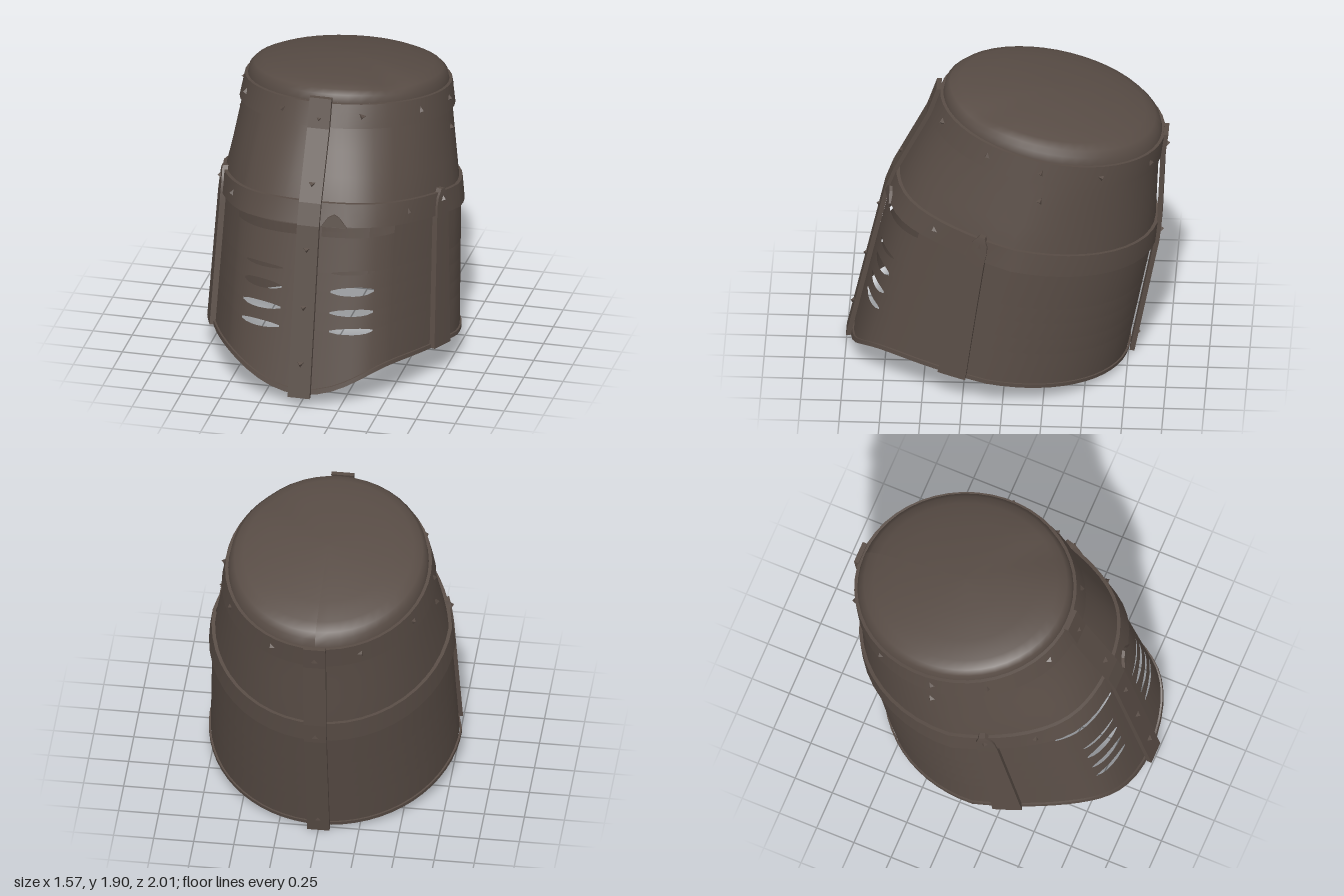
import * as THREE from 'three';
import { toCreasedNormals } from 'three/addons/utils/BufferGeometryUtils.js';

// Horizontal rings of the helmet, bottom to top: front z, back z, widest z, half width, bluntness of the front, height
const RINGS = [
  { zf: 0.96, zb: -0.745, zc: 0.1, w: 0.775, blunt: 1, y: (z, c) => 0.17 + (c > 0 ? 0.1 * c - 0.2 * c ** 10 : 0.15 * c) },
  { zf: 0.72, zb: -0.9, zc: -0.05, w: 0.745, blunt: 0.9, y: z => 0.985 + 0.2 * z },
  { zf: 0.67, zb: -0.915, zc: -0.08, w: 0.725, blunt: 0.6, y: z => 1.13 + 0.2 * z },
  { zf: 0.46, zb: -0.935, zc: -0.25, w: 0.645, blunt: 0, y: z => 1.59 + 0.19 * z },
  { zf: 0.4, zb: -0.955, zc: -0.277, w: 0.62, blunt: 0, y: z => 1.74 + 0.19 * z },
];

function ringPoint(r, a) {
  const c = Math.cos(a), f = Math.max(0, c);
  const z = r.zc + c * (c > 0 ? r.zf - r.zc : r.zc - r.zb);
  const x = r.w * Math.sin(a) * (1 + r.blunt * (0.3 * f ** 6 - 0.28 * f * (1 - f)));
  return new THREE.Vector3(x, r.y(z, c), z);
}

// Point on the helmet wall at angle a (0 = front) and ring level u, pushed outwards
function wall(a, u, out = 0) {
  const i = Math.min(3, Math.floor(u));
  const p = ringPoint(RINGS[i], a).lerp(ringPoint(RINGS[i + 1], a), u - i);
  p.x += Math.sin(a) * out;
  p.z += Math.cos(a) * out;
  return p;
}

// Surface from a rows x cols grid of points; cells can be left out
function grid(rows, cols, point, skip = () => false) {
  const pos = [], idx = [];
  for (let i = 0; i < rows; i++)
    for (let j = 0; j < cols; j++) pos.push(...point(i, j).toArray());
  for (let i = 0; i < rows - 1; i++)
    for (let j = 0; j < cols - 1; j++) {
      if (skip(i, j)) continue;
      const a = i * cols + j, b = a + 1, d = a + cols, e = d + 1;
      idx.push(a, b, e, a, e, d);
    }
  const g = new THREE.BufferGeometry();
  g.setAttribute('position', new THREE.Float32BufferAttribute(pos, 3));
  g.setIndex(idx);
  g.computeVertexNormals();
  return g;
}

// Raised plate lying on the wall, with its edges turned in
function plate(levels, cols, angle, out, closed) {
  const us = [levels[0], ...levels, levels[levels.length - 1]];
  const n = closed ? cols + 1 : cols + 3;
  const g = grid(us.length, n, (i, j) => {
    const s = closed ? j / cols : Math.min(1, Math.max(0, (j - 1) / cols));
    const border = i === 0 || i === us.length - 1 || (!closed && (j === 0 || j === n - 1));
    return wall(angle(s, us[i]), us[i], border ? 0 : out);
  });
  return toCreasedNormals(g, 0.6);
}

export function createModel() {
  const model = new THREE.Group();
  const steel = new THREE.MeshStandardMaterial({ color: 0x584c45, side: THREE.DoubleSide });
  steel.name = 'dark brown steel';
  const add = (name, geometry, parent = model) => {
    const m = new THREE.Mesh(geometry, steel);
    m.name = name;
    parent.add(m);
    return m;
  };

  // Wall with level breathing slits and eye slits cut out on both sides of the front
  const slits = [
    { y: 0.47, h: 0.02, a0: 0.165, a1: 0.52 },
    { y: 0.585, h: 0.022, a0: 0.165, a1: 0.52 },
    { y: 0.715, h: 0.028, a0: 0.165, a1: 0.52 },
    { y: 0.83, h: 0.013, a0: 0.165, a1: 0.52 },
    { y: 1.085, h: 0.03, a0: 0.085, a1: 0.73, straight: true },
  ];
  const half = [0.085, 0.165, 0.22, 0.28, 0.34, 0.4, 0.46, 0.52, 0.6, 0.67, 0.73];
  for (let k = 1; k <= 15; k++) half.push(0.73 + (Math.PI - 0.73) * k / 15);
  const angles = [...half.map(a => -a).reverse(), 0, ...half];
  const rows = [{ u: 0 }, { u: 0.1 }];
  slits.forEach(s => rows.push({ s, d: -1 }, { s, d: 1 }));
  [1, 1.5, 2, 2.33, 2.67, 3, 3.5, 4].forEach(u => rows.push({ u }));
  add('helmetWall', grid(rows.length, angles.length, (i, j) => {
    const { u, s, d } = rows[i], a = angles[j];
    if (!s) return wall(a, u);
    const t = (Math.abs(a) - s.a0) / (s.a1 - s.a0);
    const open = s.straight ? 1 : 0.25 + (t > 0 && t < 1 ? 0.75 * Math.sin(Math.PI * t) ** 0.6 : 0);
    const at = Math.min(Math.abs(a), s.a1);
    const low = wall(at, 0).y, high = wall(at, 1).y;
    const y = s.y - (s.straight ? 0.025 * at : 0) + d * s.h * open;
    return wall(a, Math.min(0.995, (y - low) / (high - low)));
  }, (i, j) => {
    const s = rows[i].s, m = Math.abs(angles[j] + angles[j + 1]) / 2;
    return s && rows[i].d < 0 && m > s.a0 && m < s.a1;
  }));

  // Domed, slightly dented crown
  const dome = [[1, 0], [0.985, 0.05], [0.94, 0.08], [0.85, 0.105], [0.65, 0.13], [0.35, 0.155], [0, 0.16]];
  const crownAngle = j => -Math.PI + 2 * Math.PI * j / 48;
  add('crown', grid(dome.length, 49, (i, j) => {
    const [k, h] = dome[i], p = wall(crownAngle(j), 4);
    p.x *= k;
    p.z = -0.277 + (p.z + 0.277) * k;
    const dent = 0.022 * Math.exp(-((p.x - 0.35) ** 2 + (p.z - 0.12) ** 2) / 0.015);
    p.y = 1.74 + 0.19 * p.z + h - dent * (k < 0.99 ? 1 : 0);
    return p;
  }));

  // Encircling bands
  const around = s => -Math.PI + 2 * Math.PI * s;
  add('browBand', plate([1, 1.5, 2], 48, around, 0.022, true));
  add('crownBand', plate([3, 3.5, 4], 48, around, 0.02, true));
  add('bottomHem', plate([0, 0.03], 64, around, 0.012, true));

  // Upright strips at front and back, following the wall
  const strip = (name, a, dir, lowEnd, highEnd) => {
    const pts = [0, 1, 2, 3, 4].map(u => wall(a, u));
    pts[0].y -= lowEnd;
    pts[4].y += highEnd;
    const outline = [...pts.map(p => [p.z + dir * 0.042, p.y]), ...pts.reverse().map(p => [p.z + dir * 0.012, p.y])];
    const g = new THREE.ExtrudeGeometry(new THREE.Shape(outline.map(p => new THREE.Vector2(...p))), { depth: 0.14, bevelEnabled: false });
    add(name, g.rotateY(-Math.PI / 2).translate(0.07, 0, 0));
  };
  strip('frontStrip', 0, 1, 0.01, 0.04);
  strip('backStrip', Math.PI, -1, 0.02, 0.01);

  // Round-topped straps over the side seams
  const strapLevels = [0, 0.3, 0.6, 0.9, 1, 1.5, 1.8, 1.95, 2.05];
  for (const side of [1, -1]) {
    add(side > 0 ? 'leftStrap' : 'rightStrap', plate(strapLevels, 4, (s, u) => {
      const width = u < 1 ? 0.2 - 0.05 * u : 0.15 * Math.sqrt(Math.max(0.1, 1 - ((u - 1) / 1.07) ** 4));
      const mid = 1.325 - 0.035 * Math.min(u, 1);
      return side * mid + (s - 0.5) * width;
    }, 0.036, false));
  }

  // Pointed rivets
  const rivets = new THREE.Group();
  rivets.name = 'rivets';
  model.add(rivets);
  const rivet = (a, u, out) => {
    const m = add('rivet', toCreasedNormals(new THREE.ConeGeometry(0.026, 0.024, 3), 0.3), rivets);
    m.position.copy(wall(a, u, out + 0.008));
    m.quaternion.setFromUnitVectors(new THREE.Vector3(0, 1, 0), new THREE.Vector3(Math.sin(a), 0.1, Math.cos(a)).normalize());
  };
  [0.19, 0.52, 0.86, 2.25, 3.4].forEach(u => rivet(0, u, 0.042));
  [0.1, 1.3, 3.4].forEach(u => rivet(Math.PI, u, 0.042));
  for (const side of [1, -1]) {
    [0.4, 1.03, 1.53, 2.08, 2.7].forEach(a => rivet(side * a, 3.5, 0.02));
    rivet(side * 0.88, 1.5, 0.022);
    rivet(side * 1.29, 1.7, 0.036);
    rivet(side * 1.6, 2.74, 0);
  }

  // Bent scrap of metal above the left eye slit
  const scrap = new THREE.Shape([[-0.08, -0.03], [0.08, -0.03], [0.03, 0.03], [0.0, 0.05], [-0.04, 0.03]].map(p => new THREE.Vector2(...p)));
  const tab = add('bentTab', new THREE.ExtrudeGeometry(scrap, { depth: 0.02, bevelEnabled: false }));
  tab.position.copy(wall(0.17, 1.2, 0.02));
  tab.rotation.set(-0.2, 0.2, 0);

  return model;
}
